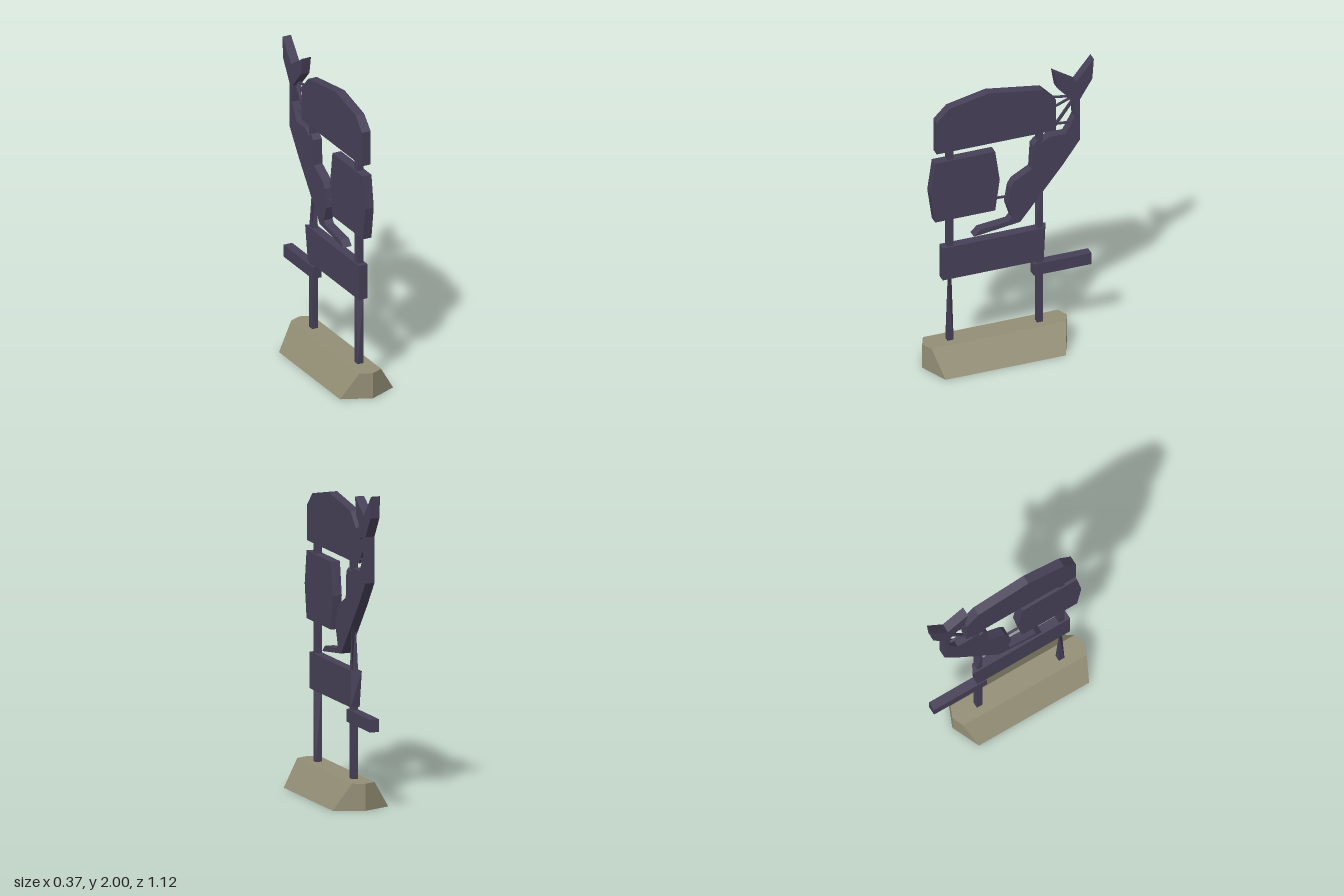
import * as THREE from 'three';

const slate = new THREE.MeshStandardMaterial({ color: 0x464057 });
slate.name = 'dark slate';
const stone = new THREE.MeshStandardMaterial({ color: 0x938e75, side: THREE.DoubleSide });
stone.name = 'olive stone';

const T = 0.06; // board thickness along x

function add(group, name, geometry, material = slate) {
  const mesh = new THREE.Mesh(geometry, material);
  mesh.name = name;
  group.add(mesh);
}

// Flat board cut from an outline of [z, y] points, centred on x = 0
function board(points, thickness = T) {
  const shape = new THREE.Shape(points.map(([z, y]) => new THREE.Vector2(z, y)));
  const g = new THREE.ExtrudeGeometry(shape, { depth: thickness, bevelEnabled: false });
  g.translate(0, 0, -thickness / 2);
  g.rotateY(-Math.PI / 2);
  return g;
}

// Square post; a twist of +1 or -1 pinches its top to a diagonal edge
function post(z, y0, y1, twist = 0) {
  const g = new THREE.BoxGeometry(0.04, y1 - y0, 0.04).toNonIndexed();
  const p = g.attributes.position;
  for (let i = 0; i < p.count; i++) {
    if (twist && p.getY(i) > 0) p.setZ(i, p.getX(i) * twist);
  }
  g.translate(0, (y0 + y1) / 2, z);
  g.computeVertexNormals();
  return g;
}

// Thin strut between two [z, y] points
function strut([z0, y0], [z1, y1], w = 0.01) {
  const len = Math.hypot(z1 - z0, y1 - y0);
  const g = new THREE.BoxGeometry(0.015, w, len);
  g.rotateX(-Math.atan2(y1 - y0, z1 - z0));
  g.translate(0, (y0 + y1) / 2, (z0 + z1) / 2);
  return g;
}

// Hollow plinth: sloped sides, pointed vertical ends, open underneath
function plinth() {
  const section = [[-0.185, 0], [-0.075, 0.17], [0, 0.17], [0.075, 0.17], [0.185, 0]];
  const front = (x) => 0.56 - 0.45 * Math.abs(x);
  const back = (x) => -0.395 + 0.43 * Math.abs(x);
  const v = [];
  const quad = (a, b, c, d) => v.push(...a, ...b, ...c, ...a, ...c, ...d);
  for (let i = 0; i < section.length - 1; i++) {
    const [x0, y0] = section[i];
    const [x1, y1] = section[i + 1];
    const f0 = front(x0), f1 = front(x1), b0 = back(x0), b1 = back(x1);
    quad([x0, y0, f0], [x1, y1, f1], [x1, y1, b1], [x0, y0, b0]);
    quad([x0, 0, f0], [x1, 0, f1], [x1, y1, f1], [x0, y0, f0]);
    quad([x1, 0, b1], [x0, 0, b0], [x0, y0, b0], [x1, y1, b1]);
  }
  const g = new THREE.BufferGeometry();
  g.setAttribute('position', new THREE.Float32BufferAttribute(v, 3));
  g.computeVertexNormals();
  return g;
}

// Lower plank with a skewed rear end
function plank() {
  const g = new THREE.BoxGeometry(T, 0.23, 0.665).toNonIndexed();
  const p = g.attributes.position;
  for (let i = 0; i < p.count; i++) {
    if (p.getZ(i) > 0) p.setZ(i, 0.435);
    else if (p.getY(i) < 0) p.setZ(i, -0.23);
    else p.setZ(i, p.getX(i) > 0 ? -0.235 : -0.265);
  }
  g.translate(0, 0.735, 0);
  g.computeVertexNormals();
  return g;
}

export function createModel() {
  const sign = new THREE.Group();
  sign.name = 'signpost';

  add(sign, 'plinth', plinth(), stone);

  // Posts, in sections between the boards
  add(sign, 'frontPostLower', post(0.38, 0.165, 0.63, 1));
  add(sign, 'frontPostMiddle', post(0.38, 0.84, 1.06));
  add(sign, 'frontPostUpper', post(0.38, 1.465, 1.55));
  add(sign, 'rearPostLower', post(-0.21, 0.165, 0.63));
  add(sign, 'rearPostMiddle', post(-0.21, 0.84, 1.15, -1));
  add(sign, 'rearPostUpper', post(-0.21, 1.15, 1.55));

  // Boards
  add(sign, 'headerBoard', board([
    [0.475, 1.54], [0.475, 1.765], [0.39, 1.85], [0.135, 1.905],
    [-0.225, 1.85], [-0.31, 1.76], [-0.31, 1.54],
  ]));
  add(sign, 'panelBoard', board([
    [0.485, 1.05], [0.515, 1.265], [0.485, 1.475],
    [0.09, 1.475], [0.06, 1.265], [0.09, 1.05],
  ]));
  add(sign, 'lowerPlank', plank());
  add(sign, 'arrowArm', board([[-0.165, 0.52], [-0.165, 0.6], [-0.545, 0.6], [-0.545, 0.52]]));

  // Leaping billfish cut-out: bill, belly and fins, tail, back
  add(sign, 'fish', board([
    [0.23, 0.89], [0.19, 0.93], [0, 0.95], [-0.02, 0.975], [0.01, 1.07], [-0.01, 1.19],
    [-0.035, 1.23], [-0.15, 1.295], [-0.16, 1.46], [-0.19, 1.49], [-0.215, 1.47],
    [-0.265, 1.5], [-0.375, 1.5], [-0.435, 1.61], [-0.425, 1.725],
    [-0.32, 1.84], [-0.3, 1.955], [-0.445, 1.86], [-0.56, 2], [-0.55, 1.86],
    [-0.47, 1.73], [-0.47, 1.44], [-0.355, 1.28], [-0.075, 0.93],
  ]));

  // Struts holding the fish
  [
    [[0.1, 1.12], [-0.01, 1.115]],
    [[-0.3, 1.54], [-0.43, 1.715], 0.016],
    [[-0.3, 1.765], [-0.43, 1.745]],
    [[-0.3, 1.57], [-0.42, 1.56]],
    [[-0.3, 1.69], [-0.43, 1.74]],
  ].forEach(([a, b, w], i) => add(sign, 'fishStrut' + (i + 1), strut(a, b, w)));

  return sign;
}
